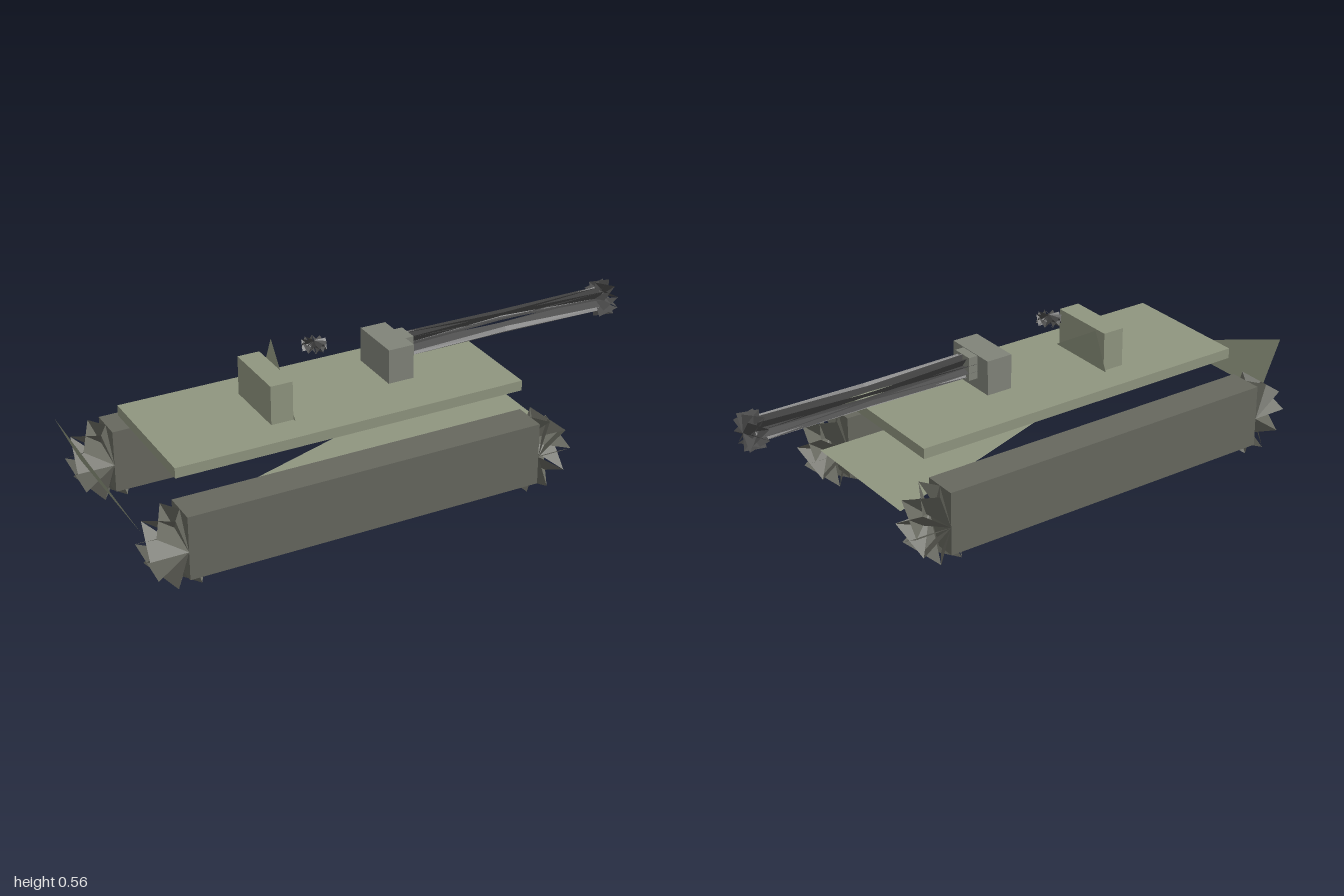
import * as THREE from 'three';

const mat = (color) => new THREE.MeshStandardMaterial({ color, flatShading: true, side: THREE.DoubleSide });
const olive = mat(0x8f957f), trackGrey = mat(0x66675e), gunGrey = mat(0x808379), dark = mat(0x4c4c4c);

// Box given by its extents along each axis
function box(name, [x0, x1], [y0, y1], [z0, z1], material) {
  const mesh = new THREE.Mesh(new THREE.BoxGeometry(x1 - x0, y1 - y0, z1 - z0), material);
  mesh.position.set((x0 + x1) / 2, (y0 + y1) / 2, (z0 + z1) / 2);
  mesh.name = name;
  return mesh;
}

function facets(name, points, material) {
  const geometry = new THREE.BufferGeometry();
  geometry.setAttribute('position', new THREE.Float32BufferAttribute(points.flat(), 3));
  geometry.computeVertexNormals();
  const mesh = new THREE.Mesh(geometry, material);
  mesh.name = name;
  return mesh;
}

// Spiky drum along y: fans from both hubs whose blades cross to the opposite rim
function spikyDrum(name, radius, length, material, sides = 10) {
  const rim = (i, y) => {
    const a = (i / sides) * Math.PI * 2;
    return [radius * Math.cos(a), y, radius * Math.sin(a)];
  };
  const h = length / 2, points = [];
  for (let i = 0; i < sides; i++) {
    points.push([0, h, 0], rim(i, h), rim(i + 1, -h));
    points.push([0, -h, 0], rim(i, -h), rim(i + 1, h));
  }
  return facets(name, points, material);
}

export function createModel() {
  const model = new THREE.Group();

  // Tracks with a drum at each end
  for (const side of [1, -1]) {
    const track = new THREE.Group();
    track.name = side > 0 ? 'frontTrack' : 'backTrack';
    const z = side * 0.3125;
    track.add(box('trackBody', [-0.81, 0.48], [0.024, 0.253], [z - 0.0625, z + 0.0625], trackGrey));
    for (const x of [-0.81, 0.48]) {
      const drum = spikyDrum('trackDrum', 0.131, 0.125, trackGrey);
      drum.rotation.x = Math.PI / 2;
      drum.position.set(x, 0.127, z);
      track.add(drum);
    }
    model.add(track);
  }

  // Hull: deck slab, triangular floor and leaning tail plate
  model.add(box('deck', [-0.79, 0.49], [0.318, 0.355], [-0.24, 0.24], olive));
  model.add(facets('hullFloor', [[-0.85, 0.165, 0.25], [0.59, 0.165, 0.25], [0.59, 0.165, -0.25]], olive));
  model.add(facets('tailPlate', [[-0.92, 0.165, 0.25], [-0.92, 0.165, -0.275], [-1, 0.345, -0.275]], olive));

  // Turret: rear box, leaning plate and base plate
  model.add(box('turretBox', [-0.4, -0.32], [0.355, 0.495], [-0.126, 0.126], olive));
  model.add(facets('turretPlate', [[-0.319, 0.355, 0.14], [-0.319, 0.355, -0.14], [-0.27, 0.525, -0.14]], olive));
  model.add(facets('turretBase', [[-0.32, 0.3555, 0.14], [0.1, 0.3555, 0.14], [0.1, 0.3555, -0.14]], olive));

  const hatch = spikyDrum('hatch', 0.043, 0.031, dark);
  hatch.position.set(-0.178, 0.542, 0);
  model.add(hatch);

  // Gun: mantlet, collar, barrel and muzzle
  model.add(box('mantlet', [0.05, 0.145], [0.386, 0.51], [-0.1, 0.1], gunGrey));
  model.add(box('collar', [0.145, 0.178], [0.425, 0.508], [-0.04, 0.04], gunGrey));
  for (const [name, radius, x0, x1] of [['barrel', 0.043, 0.145, 0.96], ['muzzle', 0.065, 0.94, 1]]) {
    const part = spikyDrum(name, radius, x1 - x0, dark);
    part.rotation.z = -Math.PI / 2;
    part.position.set((x0 + x1) / 2, 0.465, 0);
    model.add(part);
  }
  return model;
}
